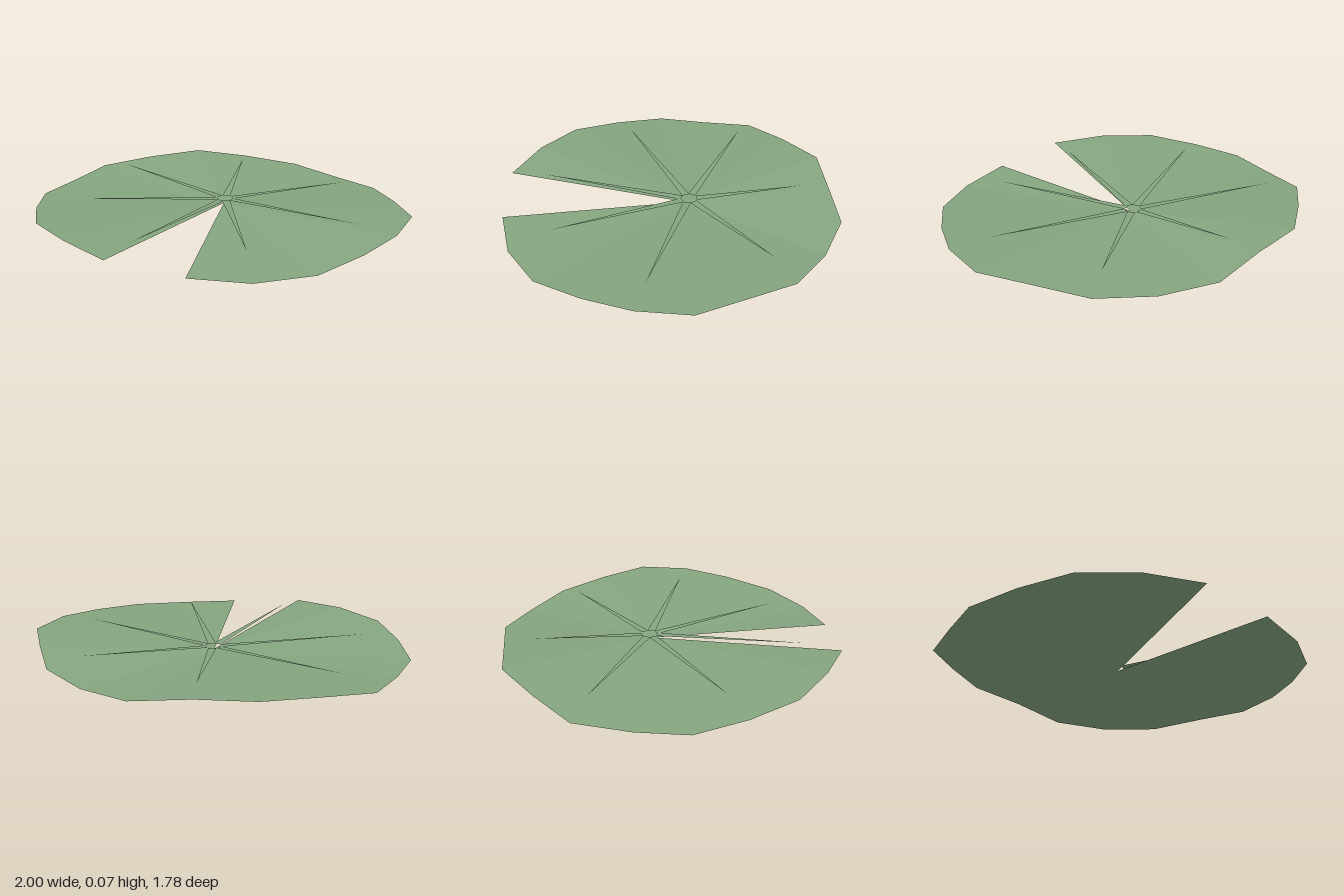
import * as THREE from 'three';

const leafGreen = new THREE.MeshStandardMaterial({
  color: 0x86a580, side: THREE.DoubleSide, flatShading: true,
});
leafGreen.name = 'leafGreen';

// Rim outline (x, z), from the left lip of the notch round the back to the right lip
const RIM = [
  [0.19, 0.865], [0.48, 0.78], [0.73, 0.61], [0.88, 0.36], [0.98, 0.11],
  [1, -0.165], [0.86, -0.39], [0.69, -0.635], [0.43, -0.79], [0.145, -0.895],
  [-0.16, -0.85], [-0.46, -0.81], [-0.7, -0.63], [-0.915, -0.435], [-0.97, -0.15],
  [-1, 0.11], [-0.895, 0.37], [-0.745, 0.61], [-0.49, 0.775], [-0.21, 0.89],
];
const CENTRE = [0, 0.02, -0.08];

// Vein tips (x, z)
const VEIN_TIPS = [
  [0.785, 0.07], [0.38, 0.59], [-0.17, 0.71], [-0.735, 0.28],
  [-0.75, -0.37], [-0.125, -0.705], [0.56, -0.54],
];

function trianglesMesh(name, positions) {
  const geometry = new THREE.BufferGeometry();
  geometry.setAttribute('position', new THREE.Float32BufferAttribute(positions, 3));
  geometry.computeVertexNormals();
  const mesh = new THREE.Mesh(geometry, leafGreen);
  mesh.name = name;
  return mesh;
}

// Fan of sectors whose rim rises and falls in three gentle waves
function makePad() {
  const rim = RIM.map(([x, z]) => {
    const angle = Math.atan2(z - CENTRE[2], x);
    return [x, 0.028 + 0.028 * Math.cos(3 * angle), z];
  });
  const positions = [];
  for (let i = 0; i < rim.length - 1; i++) {
    positions.push(...CENTRE, ...rim[i], ...rim[i + 1]);
  }
  return trianglesMesh('pad', positions);
}

// Slim triangle rising outward just above the pad
function makeVein([x, z], index) {
  const originZ = -0.1;
  const length = Math.hypot(x, z - originZ);
  const dx = x / length;
  const dz = (z - originZ) / length;
  const start = 0.04, half = 0.021;
  const bx = dx * start, bz = originZ + dz * start;
  return trianglesMesh(`vein${index + 1}`, [
    bx - dz * half, 0.042, bz + dx * half,
    x, 0.067, z,
    bx + dz * half, 0.042, bz - dx * half,
  ]);
}

export function createModel() {
  const group = new THREE.Group();
  group.name = 'lilyPad';
  group.add(makePad());
  const veins = new THREE.Group();
  veins.name = 'veins';
  VEIN_TIPS.forEach((tip, i) => veins.add(makeVein(tip, i)));
  group.add(veins);
  return group;
}
